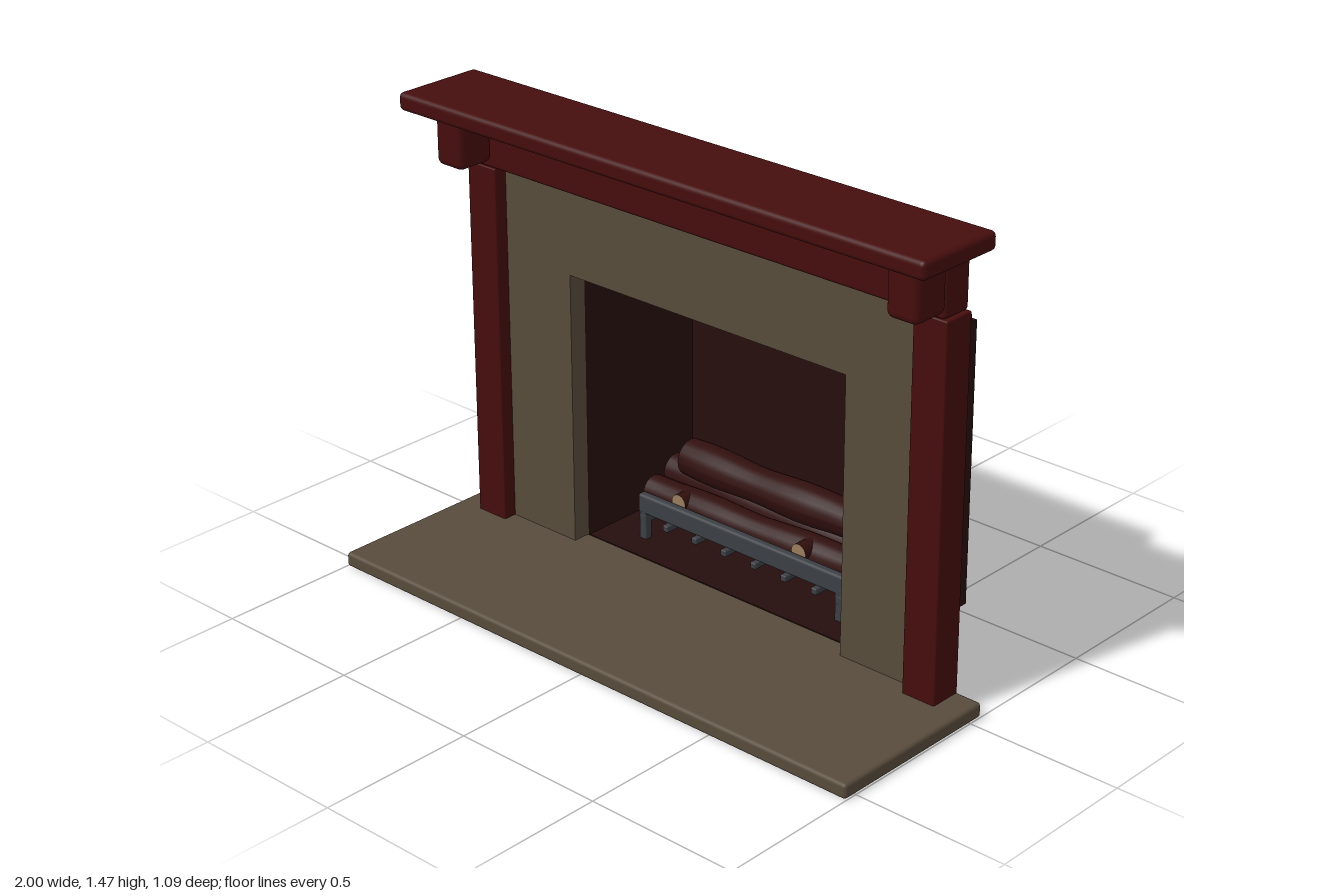
import * as THREE from 'three';
import { RoundedBoxGeometry } from 'three/addons/geometries/RoundedBoxGeometry.js';

export function createModel() {
  const model = new THREE.Group();
  model.name = 'fireplace';

  const mat = (name, color) => {
    const m = new THREE.MeshStandardMaterial({ color });
    m.name = name;
    return m;
  };
  const stone = mat('stone', 0x574b3b);
  const wood = mat('mahogany', 0x450d0d);
  const lining = mat('firebox lining', 0x260e0d);
  const bark = mat('bark', 0x300f0d);
  const cutWood = mat('cut wood', 0x9a7d5c);
  const iron = mat('iron', 0x3b3f44);

  const add = (name, geometry, material, parent = model) => {
    const mesh = new THREE.Mesh(geometry, material);
    mesh.name = name;
    parent.add(mesh);
    return mesh;
  };
  // Block given by its limits on each axis, with optional rounded edges
  const block = (name, material, [x0, x1], [y0, y1], [z0, z1], r = 0, parent = model) => {
    const size = [x1 - x0, y1 - y0, z1 - z0];
    const g = r ? new RoundedBoxGeometry(...size, 3, r) : new THREE.BoxGeometry(...size);
    g.translate((x0 + x1) / 2, (y0 + y1) / 2, (z0 + z1) / 2);
    return add(name, g, material, parent);
  };
  const span = (s, a, b) => (s > 0 ? [a, b] : [-b, -a]);

  // Hearth slab, mantel shelf and frieze
  block('hearth', stone, [-1, 1], [0, 0.048], [-0.05, 0.545], 0.012);
  block('mantelShelf', wood, [-0.99, 0.99], [1.41, 1.467], [-0.047, 0.262], 0.016);
  block('frieze', wood, [-0.905, 0.905], [1.217, 1.41], [-0.047, 0.06], 0.012);

  // Posts, corbels and stone side panels
  for (const s of [1, -1]) {
    const side = s > 0 ? 'left' : 'right';
    block(side + 'Post', wood, span(s, 0.8, 0.915), [0.003, 1.217], [-0.047, 0.06], 0.005);
    block(side + 'Corbel', wood, span(s, 0.805, 0.915), [1.24, 1.41], [0.06, 0.19], 0.022);
    block(side + 'StonePanel', stone, span(s, 0.535, 0.8), [0.045, 1.217], [-0.045, 0.015]);
  }
  block('topStonePanel', stone, [-0.535, 0.535], [0.935, 1.217], [-0.045, 0.015]);

  // Firebox, open to the front
  const firebox = new THREE.Group();
  firebox.name = 'firebox';
  model.add(firebox);
  for (const s of [1, -1]) {
    block(s > 0 ? 'leftWall' : 'rightWall', lining, span(s, 0.535, 0.558), [0, 0.93], [-0.547, -0.045], 0, firebox);
  }
  block('backWall', lining, [-0.535, 0.535], [0, 0.93], [-0.547, -0.522], 0, firebox);
  block('fireboxTop', lining, [-0.558, 0.558], [0.93, 0.955], [-0.522, -0.045], 0, firebox);
  block('fireboxFloor', lining, [-0.535, 0.535], [0.002, 0.045], [-0.522, -0.05], 0, firebox);

  // Iron grate: front and back rails, cross bars and legs
  const grate = new THREE.Group();
  grate.name = 'grate';
  model.add(grate);
  block('frontRail', iron, [-0.415, 0.415], [0.13, 0.195], [-0.17, -0.14], 0.01, grate);
  block('backRail', iron, [-0.4, 0.4], [0.1, 0.125], [-0.44, -0.42], 0.005, grate);
  for (let i = 0; i < 6; i++) {
    const x = -0.3 + i * 0.12;
    block('crossBar', iron, [x - 0.011, x + 0.011], [0.098, 0.12], [-0.44, -0.14], 0.005, grate);
  }
  for (const x of [-0.395, 0.395]) {
    block('sideBar', iron, [x - 0.014, x + 0.014], [0.1, 0.128], [-0.44, -0.14], 0.005, grate);
    for (const z of [-0.155, -0.43]) {
      block('leg', iron, [x - 0.014, x + 0.014], [0.04, 0.15], [z - 0.014, z + 0.014], 0.005, grate);
    }
  }

  // Logs: gently uneven cylinders with pale cut ends
  const logs = new THREE.Group();
  logs.name = 'logs';
  model.add(logs);
  const log = (name, length, r, wobble) => {
    const g = new THREE.CylinderGeometry(r, r, length, 20, 10);
    const p = g.attributes.position;
    for (let i = 0; i < p.count; i++) {
      const y = p.getY(i);
      const k = 1 + wobble * Math.sin(y * 17 + r * 90);
      p.setXYZ(i, p.getX(i) * k, y, p.getZ(i) * k + wobble * 0.06 * Math.cos(y * 9));
    }
    g.computeVertexNormals();
    return add(name, g, [bark, cutWood, cutWood], logs);
  };
  const logData = [
    ['topLog', 0.665, 0.06, [0, 0.293, -0.29], 0],
    ['frontLog', 0.86, 0.053, [0.005, 0.172, -0.235], 0.03],
    ['backLog', 0.94, 0.057, [0, 0.175, -0.36], -0.03],
  ];
  for (const [name, length, r, at, yaw] of logData) {
    const l = log(name, length, r, 0.06);
    l.rotation.set(0, yaw, -Math.PI / 2);
    l.position.set(...at);
  }
  // Sawn branch stubs facing the front
  for (const x of [-0.27, 0.215]) {
    const stub = log('branchStub', 0.07, 0.028, 0);
    stub.rotation.x = Math.PI / 2;
    stub.position.set(x, 0.197, -0.205);
  }

  return model;
}
